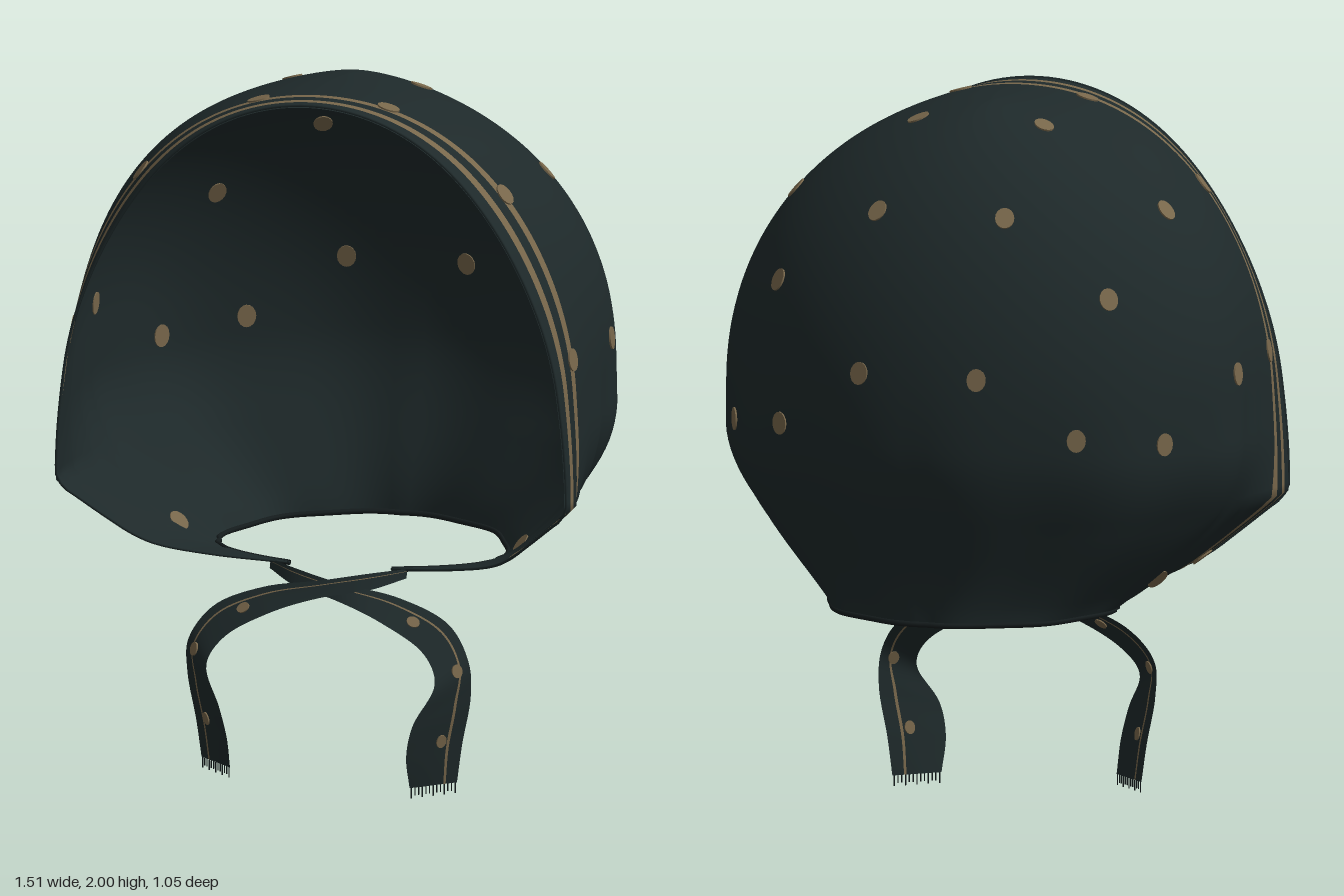
import * as THREE from 'three';
import { mergeVertices } from 'three/addons/utils/BufferGeometryUtils.js';

const { lerp, clamp, smoothstep } = THREE.MathUtils;
const V = (x, y, z) => new THREE.Vector3(x, y, z);

const material = (name, color) => {
  const m = new THREE.MeshStandardMaterial({ color, side: THREE.DoubleSide });
  m.name = name;
  return m;
};

// Point on one half of the cap. q: 0 back centre, 1 side, 2 to 3 front band; t: 0 hem, 1 crown.
function capPoint(q, t) {
  const y = 0.6 + 1.4 * Math.sin(t * Math.PI / 2);
  const low = clamp((y - 0.6) / 0.27, 0, 1);
  const dome = 0.75 * Math.sqrt(Math.max(0, 1 - (Math.max(0, y - 1.2) / 0.8) ** 2.15));
  // below the dome the back rounds in gently, the front edge keeps a corner
  const backTaper = 0.34 * (1 - Math.sin(clamp((y - 0.6) / 0.48, 0, 1) * Math.PI / 2));
  const frontTaper = 0.34 * (1 - low ** 0.9);
  const halfWidth = dome - lerp(backTaper, frontTaper, smoothstep(q, 0.8, 2.4));
  const zFront = 0.27 + 0.25 * low ** 0.6;
  const zBack = y > 1.1
    ? 0.15 - 0.67 * Math.sqrt(Math.max(0, 1 - ((y - 1.1) / 0.9) ** 2))
    : lerp(-0.42, -0.52, smoothstep(y, 0.6, 1.1));
  const zMid = lerp(zBack, zFront, 0.6);
  // soft gathers near the hem
  const gather = 1 + 0.014 * (1 - smoothstep(y, 0.8, 1.4)) * Math.sin(q * 15) * (1 - smoothstep(q, 1, 2));
  if (q <= 1) {
    const a = q * Math.PI / 2;
    return V(halfWidth * Math.sin(a) * gather, y, zMid - (zMid - zBack) * Math.cos(a) * gather);
  }
  const z = q <= 2 ? lerp(zMid, zFront - 0.125, q - 1) : zFront - 0.125 * (3 - q);
  const s = (z - zMid) / (zFront - zMid);
  // the front edge draws in towards the crown, and curls inward at the hem
  const curl = clamp((y - 0.6) / 0.08, 0, 1);
  const pull = y > 0.9
    ? 0.985 - 0.13 * smoothstep(y, 0.9, 1.85)
    : 0.36 + 0.625 * curl ** 0.6;
  return V(halfWidth * (1 - (1 - pull) * s * s) * gather, y, z - 0.06 * s * s * (1 - curl));
}

// Smooth sheet over a grid of columns and rows; some cells take the second material.
function sheet(point, cols, rows, isStripe) {
  const positions = [], plain = [], stripe = [];
  const n = cols.length;
  for (let j = 0; j <= rows; j++) for (const c of cols) positions.push(...point(c, j / rows).toArray());
  for (let j = 0; j < rows; j++) for (let i = 0; i < n - 1; i++) {
    const a = j * n + i, b = a + 1, d = a + n, c = d + 1;
    (isStripe((cols[i] + cols[i + 1]) / 2, j / rows) ? stripe : plain).push(a, c, b, a, d, c);
  }
  let g = new THREE.BufferGeometry();
  g.setAttribute('position', new THREE.Float32BufferAttribute(positions, 3));
  g.setIndex([...plain, ...stripe]);
  g.addGroup(0, plain.length, 0);
  g.addGroup(plain.length, stripe.length, 1);
  g = mergeVertices(g, 1e-5);
  g.computeVertexNormals();
  return g;
}

export function createModel() {
  const model = new THREE.Group();
  const cloth = material('dark green cloth', 0x1e292a);
  const gold = material('dull gold', 0x78674b);
  const trim = material('dark trim', 0x151c1d);

  const add = (name, geometry, mat, parent = model) => {
    const mesh = new THREE.Mesh(geometry, mat);
    mesh.name = name;
    parent.add(mesh);
    return mesh;
  };
  // Thin spot lying across a sheet, showing on both faces, a little taller than wide
  const addDot = (name, position, normal, up, radius, parent) => {
    const dot = add(name, new THREE.CylinderGeometry(radius, radius, 0.008, 16), gold, parent);
    const side = normal.clone().cross(up).normalize();
    const tall = side.clone().cross(normal);
    dot.quaternion.setFromRotationMatrix(new THREE.Matrix4().makeBasis(side, normal, tall));
    dot.scale.z = 1.2;
    dot.position.copy(position);
  };

  // Cap shell with two stripes along the front edge, ending just above the hem
  const half = [0];
  for (let i = 1; i <= 28; i++) half.push(i / 28);
  for (let i = 1; i <= 8; i++) half.push(1 + i / 8);
  half.push(2.2, 2.48, 2.68, 3);
  const cols = [...half.slice(1).reverse().map(q => -q), ...half];
  const signed = (q, t) => {
    const p = capPoint(Math.abs(q), t);
    if (q < 0) p.x *= -1;
    return p;
  };
  const inStripe = (q, t) => {
    const a = Math.abs(q);
    return t > 0.03 && ((a > 2 && a < 2.2) || (a > 2.48 && a < 2.68));
  };
  add('cap', sheet(signed, cols, 88, inStripe), [cloth, gold]);

  // Plain lining just inside the striped band
  for (const side of [1, -1]) {
    const lining = (q, t) => {
      const p = signed(q * side, t);
      return V(p.x * 0.992, 1.2 + (p.y - 1.2) * 0.992, p.z);
    };
    add('bandLining', sheet(lining, [1.95, 2, 2.2, 2.48, 2.68, 3], 88, () => false), cloth);
  }

  // Rolled edges: bottom hem and face opening
  const hem = new THREE.CatmullRomCurve3(cols.map(q => signed(q, 0)));
  add('bottomHem', new THREE.TubeGeometry(hem, 120, 0.008, 6), trim);
  const edge = [];
  for (let i = 0; i <= 120; i++) edge.push(signed(i <= 60 ? -3 : 3, i <= 60 ? i / 60 : 2 - i / 60));
  add('faceEdge', new THREE.TubeGeometry(new THREE.CatmullRomCurve3(edge), 160, 0.004, 6), cloth);

  // Spots on the cap, mirrored: each target snaps to the nearest point of the shell
  const spots = [
    [0.19, 1.97, 0.03], [0.19, 1.76, -0.31], [0.5, 1.53, -0.29], [0.18, 1.31, -0.49],
    [0.44, 1.14, -0.39], [0.63, 1.12, -0.22], [0.56, 1.74, 0.03], [0.74, 1.27, 0.07],
    [0.52, 1.74, 0.395], [0.7, 1.28, 0.395], [0.19, 1.97, 0.39], [0.5, 0.67, 0.11],
    [0.54, 0.71, 0.34],
  ];
  const capDots = new THREE.Group();
  capDots.name = 'capSpots';
  model.add(capDots);
  for (const s of spots) {
    const target = V(...s);
    let best = Infinity, q = 0, t = 0;
    for (let i = 1; i < 180; i++) for (let j = 1; j < 150; j++) {
      const d = capPoint(i / 60, j / 150).distanceToSquared(target);
      if (d < best) [best, q, t] = [d, i / 60, j / 150];
    }
    const p = capPoint(q, t);
    const dq = capPoint(q + 0.01, t).sub(capPoint(q - 0.01, t));
    const dt = capPoint(q, t + 0.004).sub(capPoint(q, t - 0.004));
    const n = dt.clone().cross(dq).normalize();
    for (const side of [1, -1]) {
      const flip = V(side, 1, 1);
      addDot('capSpot', p.clone().multiply(flip), n.clone().multiply(flip), dt.clone().multiply(flip), 0.027, capDots);
    }
  }

  // Ties: ribbons between two edge curves, crossing under the chin
  const curve = pts => new THREE.CatmullRomCurve3(pts.map(p => V(...p)));
  const outer = curve([[-0.2, 0.61, 0.22], [-0.11, 0.602, 0.28], [0.02, 0.58, 0.32], [0.2, 0.54, 0.3],
    [0.34, 0.475, 0.305], [0.405, 0.38, 0.335], [0.41, 0.28, 0.33], [0.385, 0.14, 0.33], [0.37, 0.03, 0.33]]);
  const inner = curve([[-0.2, 0.585, 0.23], [-0.11, 0.558, 0.3], [0.02, 0.535, 0.345], [0.16, 0.485, 0.37],
    [0.29, 0.405, 0.385], [0.33, 0.33, 0.42], [0.28, 0.22, 0.47], [0.26, 0.13, 0.465], [0.26, 0.03, 0.43]]);
  for (const side of [1, -1]) {
    const tie = new THREE.Group();
    tie.name = side > 0 ? 'leftTie' : 'rightTie';
    model.add(tie);
    const point = (w, t) => {
      const p = outer.getPoint(t).lerp(inner.getPoint(t), w);
      if (side < 0) {
        p.x *= -1;
        p.y += 0.025 * t;
        p.z += 0.014 * (1 - t);
      }
      return p;
    };
    add('ribbon', sheet(point, [0, 0.24, 0.29, 0.5, 0.75, 1], 64, w => w > 0.24 && w < 0.29), [cloth, gold], tie);
    for (const [w, t] of [[0.5, 0.43], [0.35, 0.63], [0.4, 0.85]]) {
      const across = point(w + 0.05, t).sub(point(w - 0.05, t));
      const along = point(w, t + 0.01).sub(point(w, t - 0.01));
      addDot('tieSpot', point(w, t), across.cross(along).normalize(), along, 0.016, tie);
    }
    // frayed end
    for (let i = 0; i < 13; i++) {
      const length = i % 3 === 0 ? 0.03 : 0.022;
      const thread = add('fringeThread', new THREE.BoxGeometry(0.003, length, 0.003), trim, tie);
      thread.position.copy(point((i + 0.5) / 13, 1));
      thread.position.y -= length / 2;
    }
  }
  return model;
}
